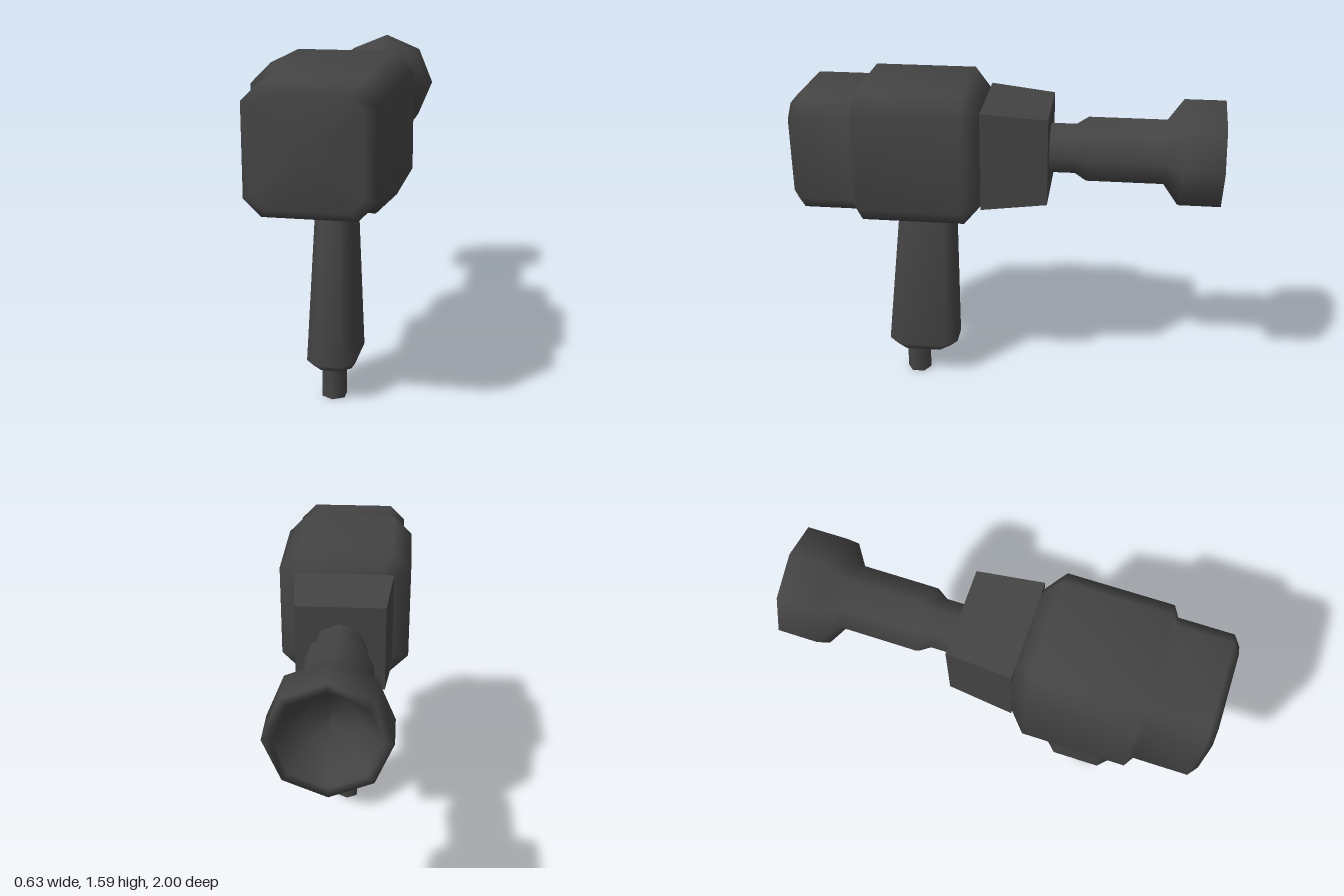
import * as THREE from 'three';

const material = new THREE.MeshStandardMaterial({ color: 0x444444 });
const flatMaterial = new THREE.MeshStandardMaterial({ color: 0x444444, flatShading: true });

// Smooth loft along +z through rectangles with chamfered corners.
// Each section: [z, centreY, halfWidth, halfHeight, chamfer]
function loft(sections) {
  const positions = [], index = [], n = 8;
  for (const [z, cy, w, h, c] of sections) {
    const ring = [[w, c - h], [w, h - c], [w - c, h], [c - w, h],
      [-w, h - c], [-w, c - h], [c - w, -h], [w - c, -h]];
    for (const [x, y] of ring) positions.push(x, cy + y, z);
  }
  for (let s = 0; s < sections.length - 1; s++) {
    for (let i = 0; i < n; i++) {
      const a = s * n + i, b = s * n + (i + 1) % n;
      index.push(a, b, b + n, a, b + n, a + n);
    }
  }
  // End caps
  const first = sections[0], last = sections[sections.length - 1];
  const start = positions.length / 3, top = (sections.length - 1) * n;
  positions.push(0, first[1], first[0], 0, last[1], last[0]);
  for (let i = 0; i < n; i++) {
    const j = (i + 1) % n;
    index.push(start, j, i, start + 1, top + i, top + j);
  }
  const geometry = new THREE.BufferGeometry();
  geometry.setAttribute('position', new THREE.Float32BufferAttribute(positions, 3));
  geometry.setIndex(index);
  geometry.computeVertexNormals();
  return geometry;
}

export function createModel() {
  const group = new THREE.Group();
  const axisY = 1.274;
  const add = (name, geometry, mat = material) => {
    const mesh = new THREE.Mesh(geometry, mat);
    mesh.name = name;
    group.add(mesh);
    return mesh;
  };

  // Main housing: tapered back, wide middle, bevelled front block
  add('housing', loft([
    [0.11, axisY, 0.235, 0.235, 0.06],
    [0.19, axisY, 0.316, 0.317, 0.09],
    [0.68, axisY, 0.316, 0.317, 0.09],
    [0.71, axisY, 0.276, 0.275, 0.075],
    [0.965, axisY, 0.276, 0.275, 0.075],
    [1.0, axisY, 0.235, 0.235, 0.06],
  ]));

  // Tapered square block behind the housing
  const rear = new THREE.CylinderGeometry(0.208 * Math.SQRT2, 0.236 * Math.SQRT2, 0.31, 4);
  rear.rotateY(Math.PI / 4).rotateX(-Math.PI / 2).translate(0, axisY, -0.045);
  add('rearBlock', rear, flatMaterial);

  // Eight-sided eyepiece tube with a hollow flared cup
  const profile = [[0.125, 0.15], [0.125, 0.32], [0.162, 0.375], [0.162, 0.74],
    [0.264, 0.81], [0.264, 1.0], [0.222, 1.0], [0.2, 0.94], [0.12, 0.84], [0, 0.82]]
    .map(([r, d]) => new THREE.Vector2(r, d));
  const eyepiece = new THREE.LatheGeometry(profile, 8);
  eyepiece.rotateX(-Math.PI / 2).translate(0, axisY, 0);
  add('eyepiece', eyepiece);

  // Grip: the loft is turned upright, so centreY becomes -z
  const grip = loft([
    [0.16, -0.4425, 0.09, 0.1325, 0.045],
    [0.2, -0.4425, 0.113, 0.1775, 0.055],
    [1.0, -0.4, 0.079, 0.135, 0.045],
  ]);
  grip.rotateX(-Math.PI / 2);
  add('grip', grip);

  // Hexagonal peg under the grip
  const peg = new THREE.CylinderGeometry(0.061, 0.061, 0.2, 6);
  add('peg', peg.translate(0, 0.1, 0.481));

  return group;
}
